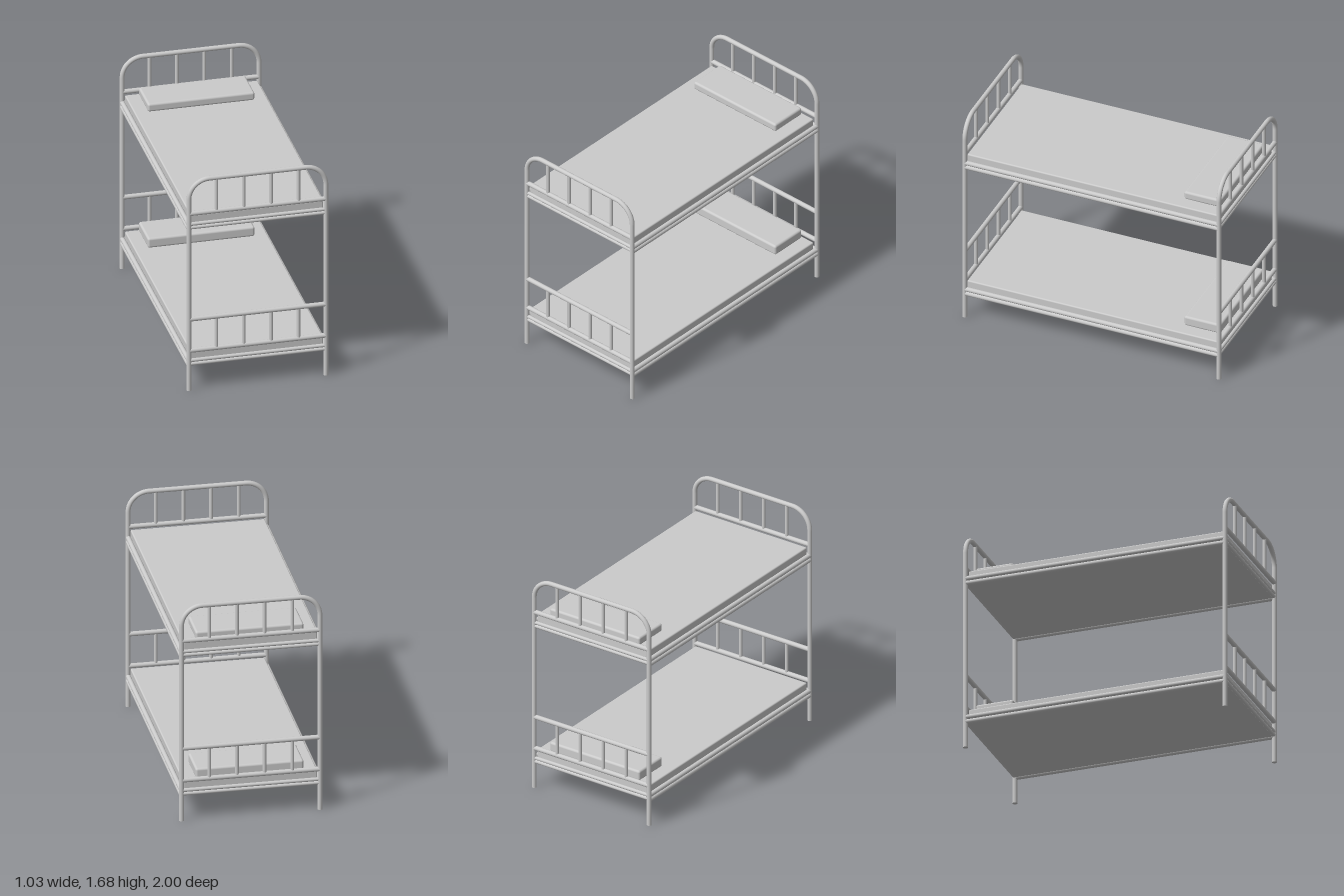
import * as THREE from 'three';
import { RoundedBoxGeometry } from 'three/addons/geometries/RoundedBoxGeometry.js';

const material = new THREE.MeshStandardMaterial({ color: 0xcccccc });
const POST_X = 0.5, END_Z = 0.982, TUBE = 0.0175, TOP = 1.667, BEND = 0.15;

function add(parent, name, geometry, x = 0, y = 0, z = 0) {
  const mesh = new THREE.Mesh(geometry, material);
  mesh.name = name;
  mesh.position.set(x, y, z);
  parent.add(mesh);
  return mesh;
}

// Round bar centred at a point, running along the given axis
function bar(parent, name, axis, length, radius, x, y, z) {
  const geometry = new THREE.CylinderGeometry(radius, radius, length, 20);
  if (axis === 'x') geometry.rotateZ(Math.PI / 2);
  if (axis === 'z') geometry.rotateX(Math.PI / 2);
  return add(parent, name, geometry, x, y, z);
}

// Row of four upright spindles between two heights
function spindles(parent, y0, y1) {
  for (const x of [-0.3, -0.1, 0.1, 0.3])
    bar(parent, 'spindle', 'y', y1 - y0, 0.0135, x, (y0 + y1) / 2, 0);
}

// Arched tubular end with guard rails
function bedEnd(name, z) {
  const end = new THREE.Group();
  end.name = name;
  end.position.z = z;
  const postTop = TOP - BEND;
  for (const side of [-1, 1]) {
    bar(end, 'post', 'y', postTop, TUBE, side * POST_X, postTop / 2, 0);
    const bend = new THREE.TorusGeometry(BEND, TUBE, 20, 16, Math.PI / 2);
    if (side < 0) bend.rotateZ(Math.PI / 2);
    add(end, 'cornerBend', bend, side * (POST_X - BEND), postTop, 0);
  }
  bar(end, 'topRail', 'x', 2 * (POST_X - BEND), TUBE, 0, TOP, 0);
  for (const y of [1.402, 0.563, 0.314])
    bar(end, 'crossRail', 'x', 2 * POST_X, TUBE, 0, y, 0);
  spindles(end, 1.402, TOP);
  spindles(end, 0.314, 0.563);
  return end;
}

// Bunk: doubled frame rails, mattress and pillow, built from the frame's underside
function bunk(name, y, pillowHeight) {
  const group = new THREE.Group();
  group.name = name;
  group.position.y = y;
  for (const side of [-1, 1]) {
    for (const h of [0.0185, 0.0535])
      bar(group, 'sideRail', 'z', 2 * END_Z, TUBE, side * POST_X, h, 0);
    for (const h of [0.0265, 0.0535])
      bar(group, 'endRail', 'x', 2 * POST_X, 0.0135, 0, h, side * END_Z);
  }
  add(group, 'bedBase', new THREE.BoxGeometry(0.985, 0.02, 1.95), 0, 0.024, 0);
  add(group, 'mattress', new RoundedBoxGeometry(0.97, 0.098, 1.935, 3, 0.01), 0, 0.069, 0.003);
  add(group, 'pillow', new RoundedBoxGeometry(0.78, pillowHeight, 0.282, 4, 0.016),
    0, 0.117 + pillowHeight / 2, -0.805);
  return group;
}

export function createModel() {
  const model = new THREE.Group();
  model.name = 'bunkBed';
  model.add(
    bedEnd('footEnd', END_Z),
    bedEnd('headEnd', -END_Z),
    bunk('lowerBunk', 0.182, 0.077),
    bunk('upperBunk', 1.265, 0.063),
  );
  return model;
}
